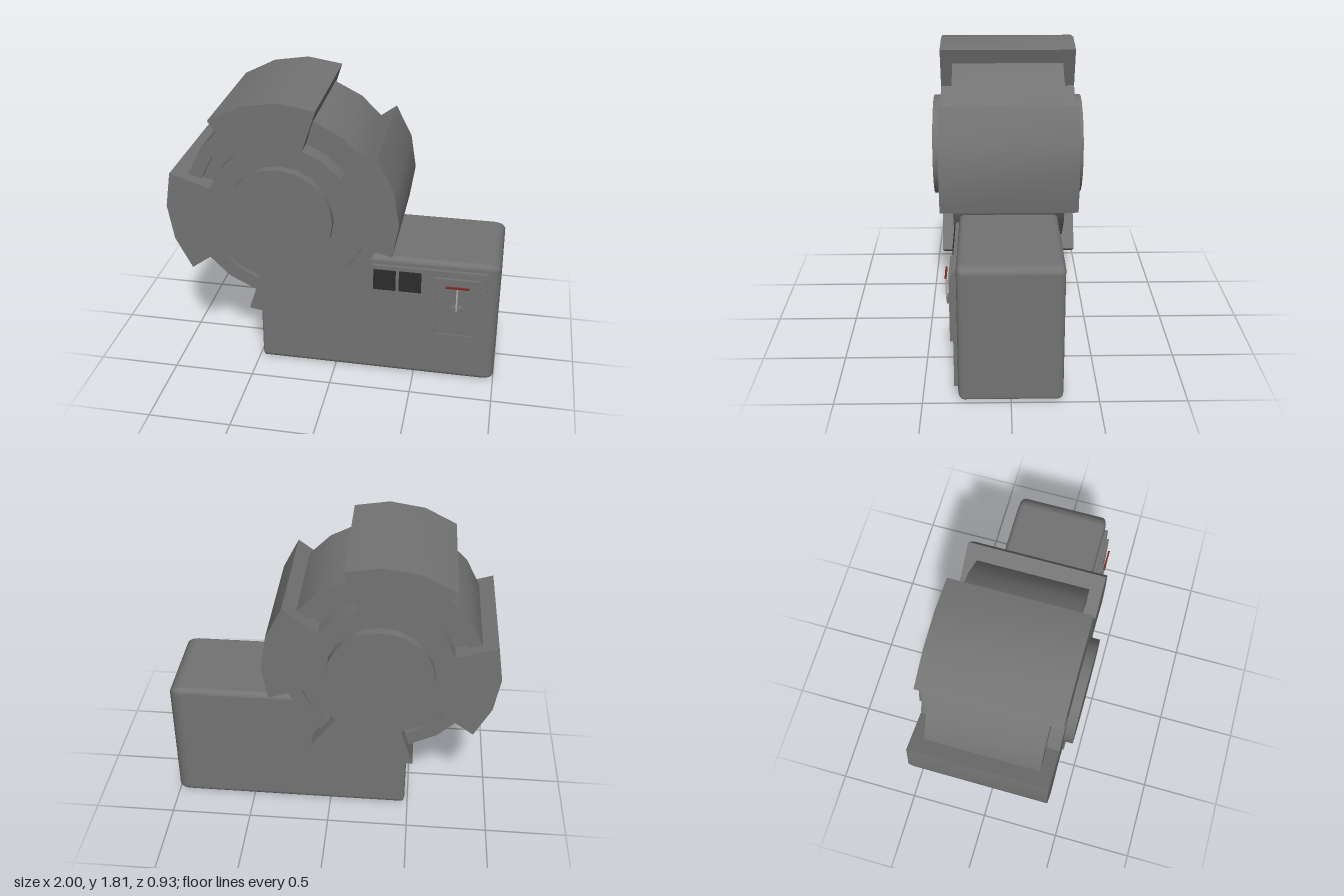
import * as THREE from 'three';
import { toCreasedNormals } from 'three/addons/utils/BufferGeometryUtils.js';
import { RoundedBoxGeometry } from 'three/addons/geometries/RoundedBoxGeometry.js';

const STEP = Math.PI / 10; // the wheel is twenty-sided

export function createModel() {
  const model = new THREE.Group();
  const grey = new THREE.MeshStandardMaterial({ color: 0x737373 });
  const dark = new THREE.MeshStandardMaterial({ color: 0x2c2c2c });
  const pale = new THREE.MeshStandardMaterial({ color: 0xaaaaaa });
  const red = new THREE.MeshStandardMaterial({ color: 0x7a2a20 });

  function add(parent, name, geometry, material = grey) {
    const mesh = new THREE.Mesh(geometry, material);
    mesh.name = name;
    parent.add(mesh);
    return mesh;
  }

  // box given by its limits on each axis
  function block(parent, name, [x0, x1], [y0, y1], [z0, z1], material) {
    const mesh = add(parent, name, new THREE.BoxGeometry(x1 - x0, y1 - y0, z1 - z0), material);
    mesh.position.set((x0 + x1) / 2, (y0 + y1) / 2, (z0 + z1) / 2);
    return mesh;
  }

  const ring = (radius) => Array.from({ length: 20 }, (_, i) =>
    new THREE.Vector2(radius * Math.cos(i * STEP), radius * Math.sin(i * STEP)));

  // shape extruded equally to both sides of z = 0
  function slab(shape, half) {
    const g = new THREE.ExtrudeGeometry(shape, { depth: 2 * half, bevelEnabled: false });
    g.translate(0, 0, -half);
    return toCreasedNormals(g, 0.5);
  }

  // Wheel
  const wheel = new THREE.Group();
  wheel.name = 'wheel';
  wheel.position.set(-0.302, 1.107, 0);
  model.add(wheel);

  // four broad teeth of 54 degrees, with 36 degree gaps between them
  const outline = [];
  for (let t = 0; t < 4; t++) {
    const first = t * 5 - 1;
    const at = (r, i) => outline.push(new THREE.Vector2(r * Math.cos(i * STEP), r * Math.sin(i * STEP)));
    at(0.444, first);
    for (let i = 0; i <= 3; i++) at(0.698, first + i);
    at(0.444, first + 3);
    at(0.444, first + 4);
  }
  add(wheel, 'toothedRotor', slab(new THREE.Shape(outline), 0.412));

  // drum between the teeth, with a groove in each end face
  const rim = new THREE.Shape(ring(0.605));
  rim.holes.push(new THREE.Path(ring(0.522).reverse()));
  add(wheel, 'drumRim', slab(rim, 0.338));
  add(wheel, 'drumCore', slab(new THREE.Shape(ring(0.53)), 0.305));
  add(wheel, 'hub', slab(new THREE.Shape(ring(0.318)), 0.467));

  // Base: rounded box with a longer rounding at its left end
  const r = 0.035, width = 1.48, inner = width / 2 - r;
  const base = new RoundedBoxGeometry(width, 0.825, 0.6, 2, r);
  const p = base.attributes.position;
  for (let i = 0; i < p.count; i++) {
    const x = p.getX(i);
    if (x > inner - 1e-4) p.setX(i, width / 2 - (width / 2 - x) * (0.075 / r));
    else if (x < -inner + 1e-4) p.setX(i, -width / 2 + (x + width / 2) * (0.02 / r));
  }
  add(model, 'base', base).position.set(0.26, 0.4125, 0);

  // Control panel
  const panel = new THREE.Group();
  panel.name = 'controlPanel';
  panel.position.y = -0.005;
  model.add(panel);
  block(panel, 'panelPlate', [0.225, 0.925], [0.07, 0.78], [0.28, 0.322]);
  for (const x of [0.24, 0.395]) block(panel, 'screen', [x, x + 0.135], [0.62, 0.755], [0.31, 0.332], dark);

  // door with a raised frame
  block(panel, 'door', [0.62, 0.88], [0.34, 0.735], [0.31, 0.333]);
  for (const x of [0.615, 0.873]) block(panel, 'doorFrameSide', [x, x + 0.012], [0.335, 0.74], [0.31, 0.342]);
  for (const y of [0.335, 0.728]) block(panel, 'doorFrameEnd', [0.627, 0.873], [y, y + 0.012], [0.31, 0.342]);

  // lever
  block(panel, 'leverMount', [0.72, 0.78], [0.52, 0.558], [0.33, 0.36]);
  block(panel, 'leverStem', [0.745, 0.755], [0.54, 0.7], [0.356, 0.366], pale);
  block(panel, 'leverHandle', [0.68, 0.82], [0.692, 0.702], [0.356, 0.367], red);

  return model;
}
